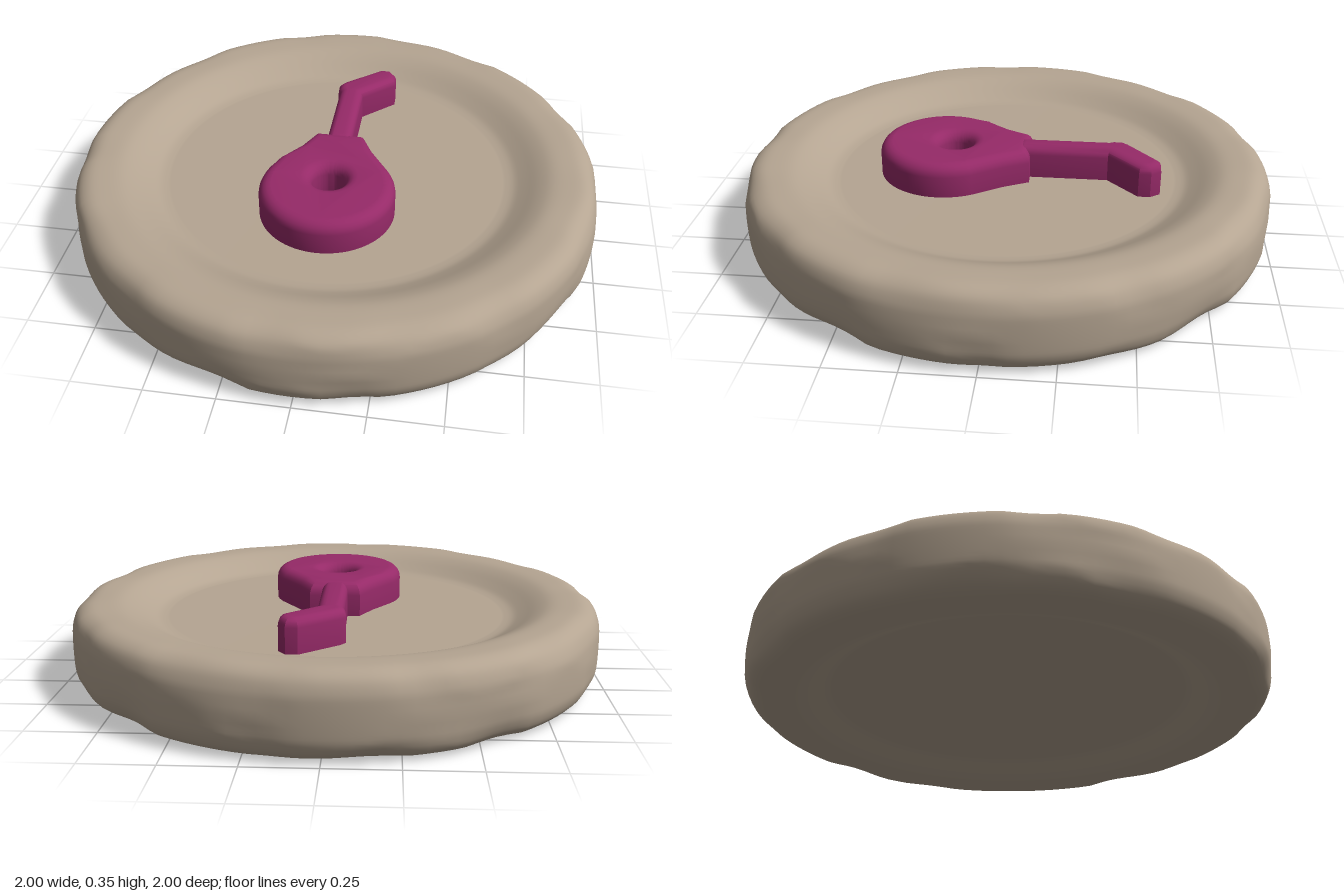
import * as THREE from 'three';
import { mergeVertices, toCreasedNormals } from 'three/addons/utils/BufferGeometryUtils.js';

const stone = new THREE.MeshStandardMaterial({ color: 0xb5a592 });
const magenta = new THREE.MeshStandardMaterial({ color: 0x962a68 });

const TOP = 0.3, FLOOR = 0.225;

// Worn stone disc, dished on both faces
function createDisc() {
  const upper = [
    [1, 0.19], [0.995, 0.235], [0.975, 0.275], [0.935, 0.297], [0.88, TOP], [0.82, 0.295],
    [0.77, 0.277], [0.72, 0.25], [0.68, 0.231], [0.64, FLOOR],
  ].map(([r, y]) => new THREE.Vector2(r, y));
  const lower = upper.map((p) => new THREE.Vector2(p.x, TOP - p.y)).reverse();
  const rim = new THREE.SplineCurve([...lower, ...upper]).getPoints(64);
  const profile = [new THREE.Vector2(0, TOP - FLOOR), ...rim, new THREE.Vector2(0, FLOOR)];

  let geo = new THREE.LatheGeometry(profile, 128);
  geo.deleteAttribute('uv');
  geo.deleteAttribute('normal');
  geo = mergeVertices(geo, 1e-5);

  // Shallow dents along the outer corners
  const pos = geo.attributes.position;
  for (let i = 0; i < pos.count; i++) {
    const x = pos.getX(i), y = pos.getY(i), z = pos.getZ(i);
    const r = Math.hypot(x, z);
    if (r < 0.66) continue;
    const a = Math.atan2(z, x);
    const side = (y - TOP / 2) / (TOP / 2);
    const wave = Math.sin(5 * a + 2 * side) + Math.sin(9 * a - 1.7 * side + 1) + Math.sin(14 * a + side + 2);
    const wear = Math.max(0, wave) * THREE.MathUtils.smoothstep(r, 0.8, 1);
    const k = 1 - 0.008 * wear * (0.2 + Math.abs(side));
    pos.setXYZ(i, x * k, TOP / 2 + (y - TOP / 2) * (1 - 0.025 * wear), z * k);
  }
  geo.computeVertexNormals();
  const mesh = new THREE.Mesh(geo, stone);
  mesh.name = 'stoneDisc';
  return mesh;
}

// Raised relief piece with rounded upper edges, drawn in (x, -z)
function createRelief(name, shape, bevel) {
  const base = 0.17, height = 0.35 - base;
  const geo = new THREE.ExtrudeGeometry(shape, {
    depth: height - 2 * bevel, bevelThickness: bevel, bevelSize: bevel,
    bevelOffset: -bevel, bevelSegments: 5, curveSegments: 40,
  });
  geo.translate(0, 0, base + bevel);
  geo.rotateX(-Math.PI / 2);
  const mesh = new THREE.Mesh(toCreasedNormals(geo, 0.6), magenta);
  mesh.name = name;
  return mesh;
}

export function createModel() {
  const group = new THREE.Group();
  group.name = 'runeStone';
  group.add(createDisc());

  // Pear-shaped ring, narrowing to a flat neck
  const ring = new THREE.Shape();
  ring.moveTo(-0.095, 0.09);
  ring.lineTo(-0.14, 0);
  ring.lineTo(-0.217, -0.115);
  ring.absarc(0, -0.24, 0.25, Math.PI * 5 / 6, Math.PI * 13 / 6, false);
  ring.lineTo(0.14, 0);
  ring.lineTo(0.095, 0.09);
  ring.closePath();
  const hole = new THREE.Path();
  hole.absarc(0, -0.2, 0.062, 0, Math.PI * 2, true);
  ring.holes.push(hole);
  group.add(createRelief('runeRing', ring, 0.045));

  // Bent stem reaching back from the neck
  const stem = new THREE.Shape([
    [-0.048, 0.04], [0.048, 0.04], [0.048, 0.385], [0.17, 0.5], [0.17, 0.545],
    [0.143, 0.582], [0.1, 0.582], [-0.035, 0.468], [-0.057, 0.44], [-0.055, 0.4], [-0.048, 0.385],
  ].map(([x, y]) => new THREE.Vector2(x, y)));
  group.add(createRelief('runeStem', stem, 0.033));

  return group;
}
